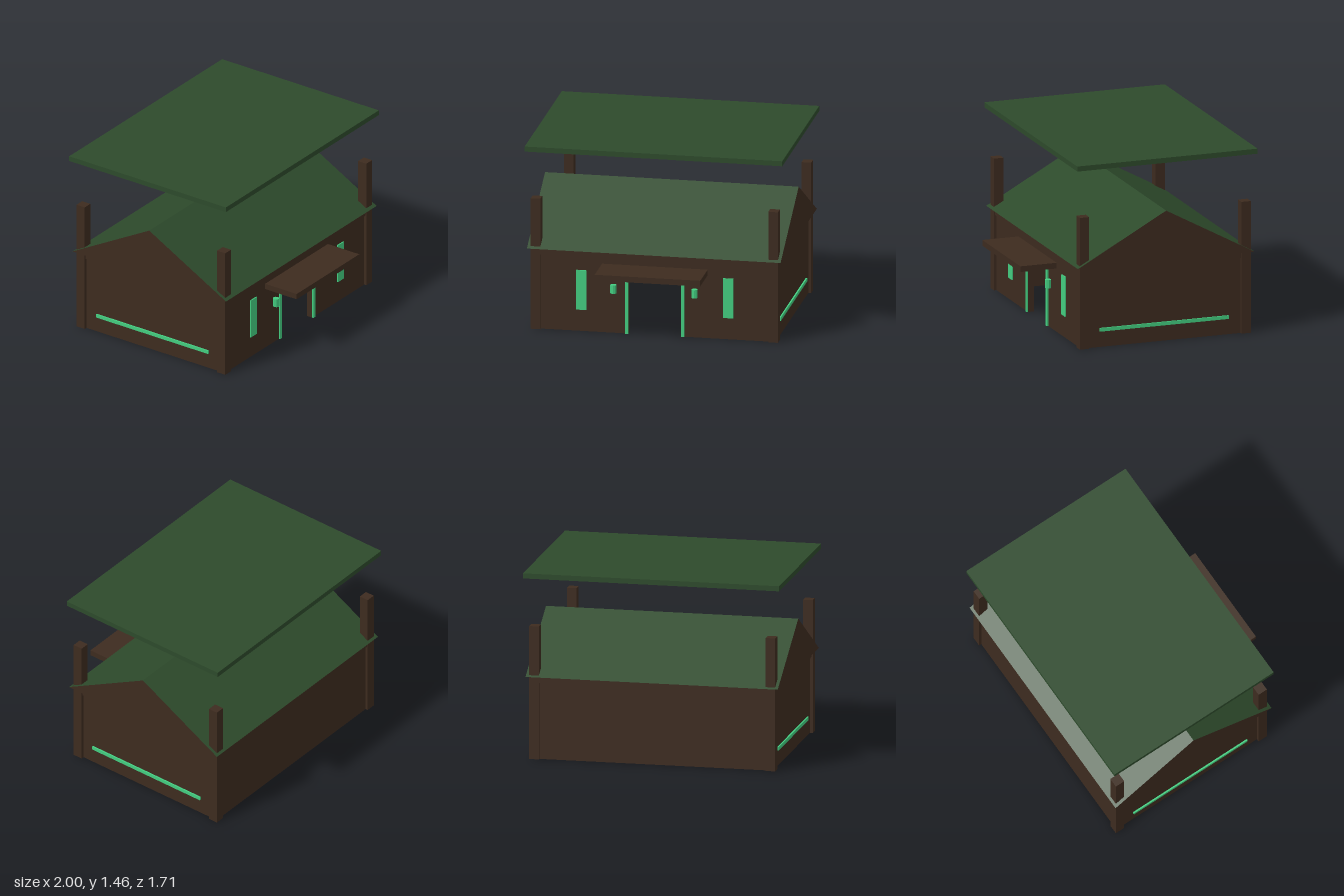
import * as THREE from 'three';

export function createModel() {
  const group = new THREE.Group();
  const mat = (name, color) => {
    const m = new THREE.MeshStandardMaterial({ color });
    m.name = name;
    return m;
  };
  const wood = mat('darkWood', 0x3d2b1f);
  const green = mat('roofGreen', 0x2d4a2b);
  const glow = mat('brightGreen', 0x43cd80);

  const add = (name, geometry, material) => {
    const mesh = new THREE.Mesh(geometry, material);
    mesh.name = name;
    group.add(mesh);
    return mesh;
  };
  // Box given by its lower and upper limits on each axis
  const box = (name, material, x0, x1, y0, y1, z0, z1) => {
    const g = new THREE.BoxGeometry(x1 - x0, y1 - y0, z1 - z0);
    g.translate((x0 + x1) / 2, (y0 + y1) / 2, (z0 + z1) / 2);
    return add(name, g, material);
  };

  const wallX = 0.937, front = 0.56, back = -0.795, thick = 0.05, ceiling = 0.595;

  // Front wall with a doorway
  const outline = new THREE.Shape([
    [-wallX, 0], [-0.205, 0], [-0.205, 0.44], [0.205, 0.44],
    [0.205, 0], [wallX, 0], [wallX, ceiling], [-wallX, ceiling],
  ].map(([x, y]) => new THREE.Vector2(x, y)));
  const frontWall = new THREE.ExtrudeGeometry(outline, { depth: thick, bevelEnabled: false });
  frontWall.translate(0, 0, front - thick);
  add('frontWall', frontWall, wood);

  // Back wall and ceiling slab
  box('backWall', wood, -wallX, wallX, 0, ceiling, back, back + thick);
  box('ceilingSlab', wood, -0.95, 0.95, ceiling, 0.64, back - 0.012, front + 0.012);

  // Gabled roof: green slopes and underside, wooden gable ends
  const gable = new THREE.Shape([
    new THREE.Vector2(-0.605, 0.645), new THREE.Vector2(0.835, 0.645), new THREE.Vector2(0.115, 1.038),
  ]);
  const roof = new THREE.ExtrudeGeometry(gable, { depth: 1.97, bevelEnabled: false });
  roof.translate(0, 0, -0.985);
  roof.rotateY(Math.PI / 2);
  add('gabledRoof', roof, [wood, green]);

  // Flat panel above the roof
  box('upperPanel', green, -1, 1, 1.42, 1.46, -0.855, 0.615);

  // Door canopy and frame
  box('doorCanopy', wood, -0.41, 0.41, 0.5, 0.545, front - 0.01, 0.855);
  box('doorFrameTop', glow, -0.23, 0.23, 0.44, 0.465, front, front + 0.012);

  for (const s of [-1, 1]) {
    const sided = (name, material, xa, xb, ...rest) =>
      box(name, material, Math.min(s * xa, s * xb), Math.max(s * xa, s * xb), ...rest);

    sided('sideWall', wood, wallX - thick, wallX, 0, ceiling, back + thick, front - thick);
    sided('frontPost', wood, 0.885, 0.96, 0, 1.04, 0.503, 0.58);
    sided('backPost', wood, 0.885, 0.96, 0, 1.04, -0.815, -0.738);
    sided('doorFrameSide', glow, 0.205, 0.23, 0, 0.44, front, front + 0.012);
    sided('window', glow, 0.53, 0.61, 0.17, 0.485, front, front + 0.009);
    sided('sideStrip', glow, wallX, wallX + 0.012, 0.123, 0.15, -0.64, 0.41);

    // Wall lamp
    const lamp = new THREE.CylinderGeometry(0.025, 0.025, 0.066, 8).toNonIndexed();
    lamp.computeVertexNormals();
    add('wallLamp', lamp, glow).position.set(s * 0.315, 0.36, 0.595);
  }

  return group;
}
